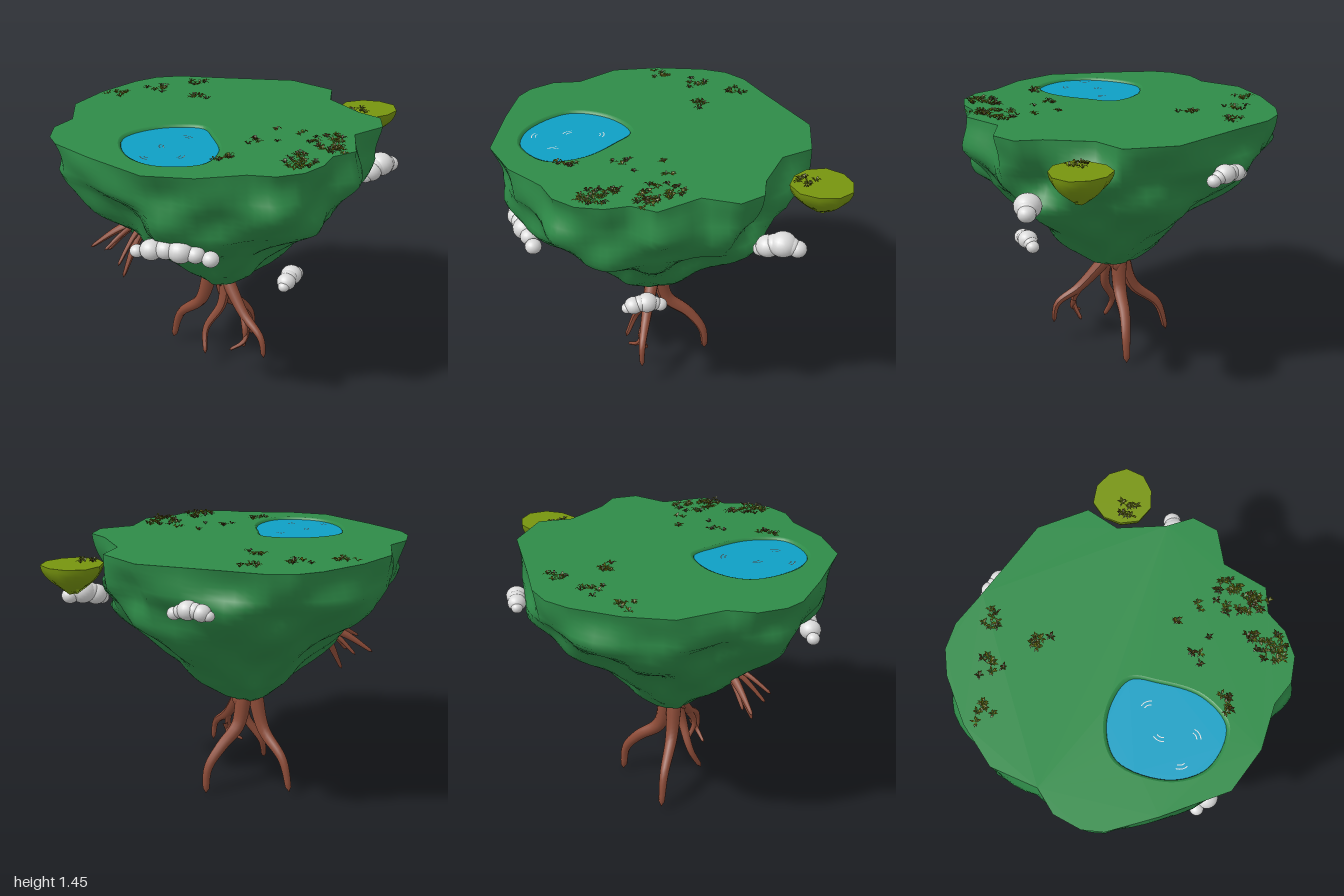
import * as THREE from 'three';
import { mergeGeometries } from 'three/addons/utils/BufferGeometryUtils.js';

const mat = (name, color, side = THREE.FrontSide) => {
  const m = new THREE.MeshStandardMaterial({ color, side });
  m.name = name;
  return m;
};
const lerp = THREE.MathUtils.lerp;
const V = (x, y, z) => new THREE.Vector3(x, y, z);

let seed = 7;
const rand = () => (seed = (seed * 16807) % 2147483647) / 2147483647;

// Rim and pond outlines as [x, z], clockwise seen from above
const RIM = [[-.16, -.87], [-.02, -.84], [.16, -.73], [.56, -.5], [.69, -.25], [.6, -.09], [.64, .17], [.7, .3],
  [.64, .43], [.45, .48], [.34, .7], [.2, .72], [.11, .81], [-.02, .865], [-.16, .855], [-.28, .78], [-.52, .73],
  [-.74, .6], [-.9, .27], [-1, .02], [-1, -.09], [-.94, -.23], [-.82, -.32], [-.74, -.56], [-.54, -.72], [-.3, -.84]];
const POND = [[-.64, .04], [-.43, -.025], [-.23, .06], [-.23, .21], [-.28, .42], [-.42, .55], [-.63, .48], [-.71, .3]];

// Island radius fractions: y, towards -x, +x, +z, -z
const PROFILE = [[1.43, 1, 1, 1, 1], [1.25, .96, 1, .97, .98], [1.05, .77, .9, .85, .77], [.85, .54, .63, .55, .52],
  [.65, .25, .35, .36, .33], [.54, .1, .18, .18, .17], [.47, 0, 0, 0, 0]];

// Closed rings of points joined from top to bottom
function loft(rings) {
  const n = rings[0].length, pos = [], idx = [];
  rings.forEach(r => r.forEach(p => pos.push(p.x, p.y, p.z)));
  for (let j = 0; j < rings.length - 1; j++)
    for (let i = 0; i < n; i++) {
      const a = j * n + i, b = j * n + (i + 1) % n;
      idx.push(a, b, a + n, b, b + n, a + n);
    }
  const g = new THREE.BufferGeometry();
  g.setAttribute('position', new THREE.Float32BufferAttribute(pos, 3));
  g.setIndex(idx);
  g.computeVertexNormals();
  return g;
}

// Flat horizontal face, optionally with a hole
function flat(pts, y, hole) {
  const toV2 = p => new THREE.Vector2(p[0], -p[1]);
  const s = new THREE.Shape(pts.map(toV2));
  if (hole) s.holes.push(new THREE.Path(hole.map(toV2)));
  return new THREE.ShapeGeometry(s).rotateX(-Math.PI / 2).translate(0, y, 0);
}

const scaled = (pts, cx, cz, k) => pts.map(([x, z]) => [cx + (x - cx) * k, cz + (z - cz) * k]);
const ring = (pts, y) => pts.map(([x, z]) => V(x, y, z));
const split = (pts, k) => pts.flatMap((p, i) => {
  const q = pts[(i + 1) % pts.length];
  return Array.from({ length: k }, (_, s) => [lerp(p[0], q[0], s / k), lerp(p[1], q[1], s / k)]);
});

// Tapering rocky underside that follows the rim
function islandSides() {
  const cx = -.14, cz = .03, rim = split(RIM, 4), rings = [], steps = 6;
  for (let j = 0; j <= (PROFILE.length - 1) * steps; j++) {
    const u = j / steps, k = Math.min(Math.floor(u), PROFILE.length - 2);
    const [y, fx0, fx1, fz1, fz0] = PROFILE[k].map((v, i) => lerp(v, PROFILE[k + 1][i], u - k));
    const t = (1.43 - y) / .96, amp = Math.min(1, t * 4) * .05;
    rings.push(rim.map(([x, z]) => {
      const a = Math.atan2(z - cz, x - cx), c = Math.cos(a), s = Math.sin(a);
      const f = c * c * (c > 0 ? fx1 : fx0) + s * s * (s > 0 ? fz1 : fz0);
      const bumps = Math.sin(4 * a + 7 * y + 2 * Math.sin(2 * a)) + .8 * Math.sin(7 * a - 13 * y)
        + .5 * Math.sin(11 * a + 17 * y + 1) - .4;
      const r = lerp(Math.hypot(x - cx, z - cz), .86, Math.min(1, t * 1.3)) * f * (1 + amp * bumps);
      return V(cx + c * r, y, cz + s * r);
    }));
  }
  return loft(rings);
}

// Tapering root along a smooth path
function root(points, r0, r1) {
  const curve = new THREE.CatmullRomCurve3(points);
  const seg = 20, sides = 9, g = new THREE.TubeGeometry(curve, seg, r0, sides);
  const p = g.attributes.position, v = V(0, 0, 0);
  for (let i = 0; i < p.count; i++) {
    const t = Math.floor(i / (sides + 1)) / seg, c = curve.getPointAt(t);
    v.fromBufferAttribute(p, i).sub(c).multiplyScalar(t === 1 ? 0 : lerp(1, r1 / r0, t)).add(c);
    p.setXYZ(i, v.x, v.y, v.z);
  }
  g.computeVertexNormals();
  return g;
}

// Cloud of overlapping puffs between two ends, largest in the middle
function cloud(from, to, size) {
  const puffs = [];
  for (let i = 0; i < 6; i++) {
    const t = i / 5, r = size * (.5 + .5 * Math.sin(Math.PI * (.1 + .8 * t))) * (i % 2 ? 1 : .82);
    const p = from.clone().lerp(to, t);
    puffs.push(new THREE.SphereGeometry(r, 20, 14).scale(1, .9, 1)
      .translate(p.x, p.y + size * .4 * Math.sin(Math.PI * t), p.z));
  }
  return mergeGeometries(puffs);
}

// Tuft of bent blades
function tuft(x, y, z) {
  const pos = [], n = 6;
  for (let i = 0; i < n; i++) {
    const a = i / n * 6.283 + rand(), l = .018 + rand() * .016, w = .0055;
    const c = Math.cos(a), s = Math.sin(a), h = .008 + rand() * .012;
    const m1 = [x + c * l * .55 - s * w, y + h, z + s * l * .55 + c * w];
    const m2 = [x + c * l * .55 + s * w, y + h, z + s * l * .55 - c * w];
    pos.push(x, y, z, ...m1, ...m2, ...m1, x + c * l, y + h * .7, z + s * l, ...m2);
  }
  const g = new THREE.BufferGeometry();
  g.setAttribute('position', new THREE.Float32BufferAttribute(pos, 3));
  g.computeVertexNormals();
  return g;
}

export function createModel() {
  const model = new THREE.Group();
  const green = mat('meadow green', 0x2e8b48), olive = mat('olive', 0x77940f), water = mat('water blue', 0x0e9fc4);
  const white = mat('cloud white', 0xdadada), bark = mat('root brown', 0x8c4b37);
  const blade = mat('blade olive', 0x626a10, THREE.DoubleSide), dry = mat('dry blade', 0x4a3a0c, THREE.DoubleSide);
  const add = (name, geo, m) => {
    const mesh = new THREE.Mesh(geo, m);
    mesh.name = name;
    model.add(mesh);
  };

  // Main island with a sunken pond
  const pond = new THREE.CatmullRomCurve3(ring(POND, 0), true).getPoints(60).slice(0, -1).map(p => [p.x, p.z]);
  const grown = k => scaled(pond, -.46, .26, k);
  add('islandSides', islandSides(), green);
  add('islandTop', flat(RIM, 1.43, grown(1.07)), green);
  add('pondBank', loft([ring(grown(1.07), 1.43), ring(grown(1.02), 1.424), ring(pond, 1.405)]
    .map(r => r.reverse())), green);
  add('pondWater', flat(grown(1.01), 1.417), water);

  // Ripples: x, z, start angle
  [[-.6, .34, 2.9], [-.47, .25, 2.2], [-.5, .38, 4.8], [-.38, .18, 0]].forEach(([x, z, start]) =>
    [.038, .058].forEach(r => add('ripple', new THREE.RingGeometry(r - .005, r, 12, 1, start, 1.1)
      .rotateX(-Math.PI / 2).translate(x, 1.42, z), white)));

  // Small floating islet: uneven oval narrowing downwards
  const islet = Array.from({ length: 10 }, (_, i) => {
    const a = i * Math.PI / 5, r = 1 + .04 * Math.sin(3 * a + 1);
    return [.833 + .165 * r * Math.cos(a), -.08 + .158 * r * Math.sin(a)];
  });
  const isletSides = [];
  for (let j = 0; j <= 8; j++) {
    const k = Math.cos(j / 8 * Math.PI / 2) ** .8;
    isletSides.push(ring(scaled(split(islet, 2), .84, -.08, k), 1.35 - .16 * j / 8).map((p, i) =>
      p.add(V((1 - k) * .02 * Math.sin(i * 1.2), 0, (1 - k) * .02 * Math.cos(i * 1.7)))));
  }
  add('isletTop', flat(islet, 1.35), olive);
  add('isletSides', loft(isletSides), olive);

  // Roots under the tip, with two forks and a bridge between their tops
  add('root', root([V(-.1, .54, -.01), V(-.06, .36, -.03), V(.05, .26, -.09), V(.13, .15, -.12), V(.145, 0, -.13)],
    .048, .018), bark);
  add('root', root([V(-.16, .55, -.01), V(-.2, .34, -.07), V(-.28, .2, -.2), V(-.31, .02, -.25)], .045, .016), bark);
  add('root', root([V(-.1, .53, .06), V(-.13, .37, .08), V(-.22, .22, .06), V(-.25, .09, .12)], .035, .012), bark);
  add('root', root([V(-.1, .54, .05), V(-.05, .35, .21), V(0, .25, .33), V(.01, .13, .35)], .042, .012), bark);
  add('rootFork', root([V(-.05, .36, .2), V(-.06, .25, .25), V(-.05, .14, .2)], .022, .01), bark);
  add('rootFork', root([V(-.04, .28, .24), V(-.07, .21, .26), V(-.15, .16, .24)], .018, .008), bark);
  add('rootBridge', root([V(-.17, .51, .07), V(-.05, .51, -.03)], .04, .035), bark);

  // Fan of roots from the flank, each arching out to its tip
  const flank = V(-.52, .93, -.01);
  [V(-.82, .77, -.1), V(-.69, .63, .05), V(-.73, .73, .1), V(-.73, .75, -.07), V(-.79, .82, .07)].forEach((tip, i) => {
    const mid = flank.clone().lerp(tip, .5).add(V(0, .02, 0));
    add('flankRoot', root([flank, mid, tip], i < 2 ? .033 : .02, .008), bark);
  });

  // Clouds
  add('cloud', cloud(V(-.73, .98, .46), V(-.43, .98, .69), .068), white);
  add('cloud', cloud(V(.66, 1.08, .24), V(.84, 1.11, .19), .073), white);
  add('cloud', cloud(V(.04, .66, .53), V(.17, .66, .41), .058), white);
  add('cloud', cloud(V(.24, 1.215, -.75), V(.39, 1.21, -.64), .056), white);

  // Grass tufts: x, z, spread, count
  const tufts = [[], []];
  const scatter = (y, patches) => patches.forEach(([x, z, spread, count]) => {
    for (let i = 0; i < count; i++) {
      const a = rand() * 6.283, r = spread * Math.sqrt(rand());
      tufts[rand() < .6 ? 0 : 1].push(tuft(x + r * Math.cos(a), y, z + r * Math.sin(a)));
    }
  });
  scatter(1.431, [[-.48, -.64, .06, 7], [-.24, -.63, .07, 7], [.03, -.66, .06, 7], [-.07, -.4, .06, 7],
    [.17, .33, .1, 4], [-.04, .42, .08, 5], [-.29, .55, .06, 7], [.27, .55, .12, 26], [.24, .66, .07, 9],
    [.01, .75, .08, 20], [.05, .63, .05, 5]]);
  scatter(1.351, [[.76, -.05, .05, 9]]);
  add('grass', mergeGeometries(tufts[0]), blade);
  add('dryGrass', mergeGeometries(tufts[1]), dry);
  return model;
}
